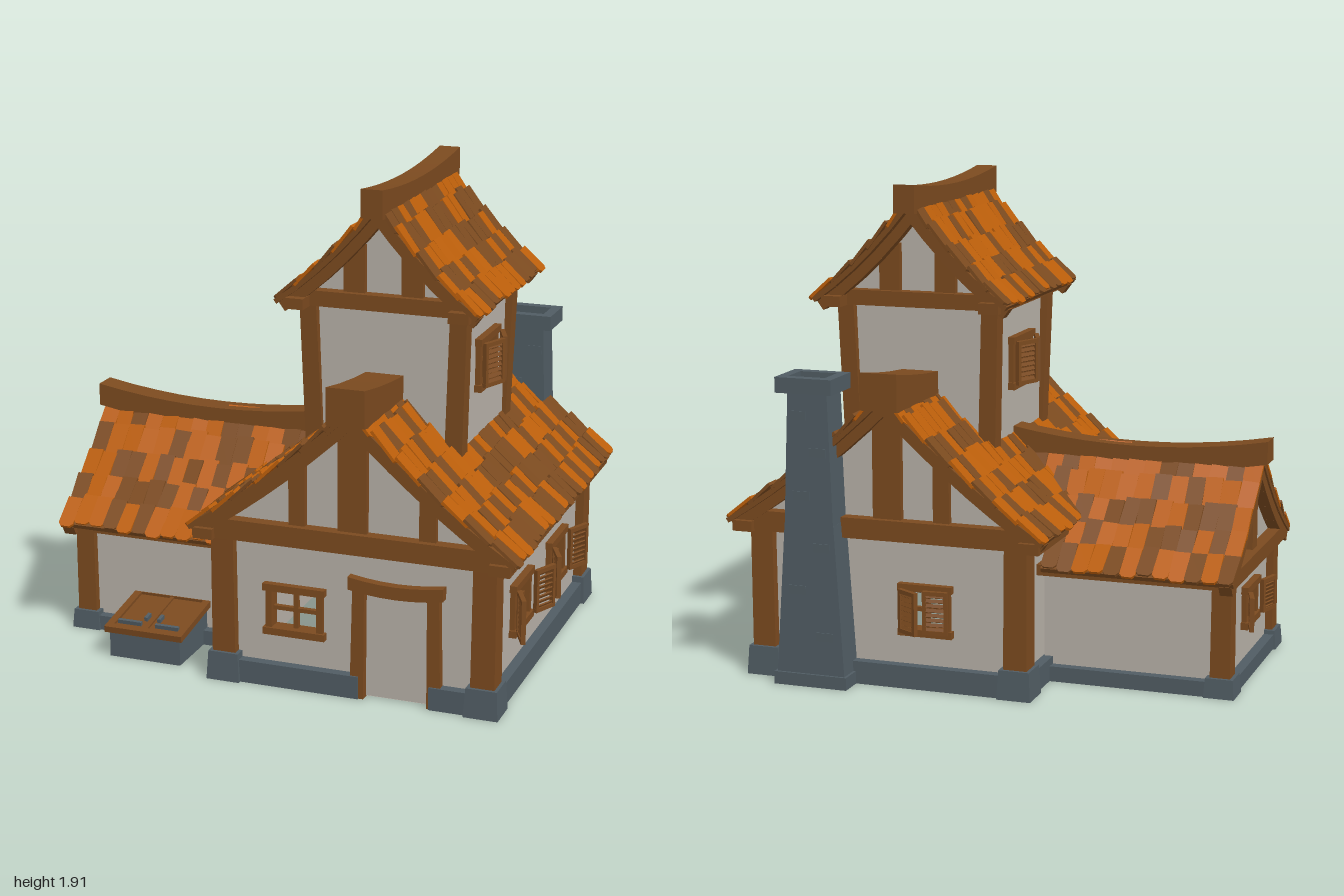
import * as THREE from 'three';
import { mergeGeometries } from 'three/addons/utils/BufferGeometryUtils.js';

const mat = (name, color) => Object.assign(new THREE.MeshStandardMaterial({ color }), { name });
const wood = mat('wood', 0x7b4a1f);
const plaster = mat('plaster', 0xb7b0a7);
const stone = mat('stone', 0x505c63);
const orange = mat('orangeTile', 0xbb5e0a);

let seed = 7;
const rand = () => (seed = (seed * 16807) % 2147483647) / 2147483647;

function add(parent, name, geo, material, x = 0, y = 0, z = 0) {
  const m = new THREE.Mesh(geo, material);
  m.name = name;
  m.position.set(x, y, z);
  parent.add(m);
  return m;
}
const box = (p, name, m, w, h, d, x, y, z) => add(p, name, new THREE.BoxGeometry(w, h, d), m, x, y, z);
function group(parent, name, x = 0, y = 0, z = 0, ry = 0) {
  const g = new THREE.Group();
  g.name = name;
  g.position.set(x, y, z);
  g.rotation.y = ry;
  parent.add(g);
  return g;
}
// Box with its vertices moved by a rule
function bent(w, h, d, rule, segX = 1, segZ = 1) {
  const geo = new THREE.BoxGeometry(w, h, d, segX, 1, segZ);
  const p = geo.attributes.position, v = new THREE.Vector3();
  for (let i = 0; i < p.count; i++) {
    rule(v.fromBufferAttribute(p, i));
    p.setXYZ(i, v.x, v.y, v.z);
  }
  geo.computeVertexNormals();
  return geo;
}
// Upright block whose top is scaled and shifted
const taper = (w, h, d, sx, sz, dx = 0, dz = 0) => bent(w, h, d, v => {
  if (v.y > 0) { v.x = v.x * sx + dx; v.z = v.z * sz + dz; }
});

// Louvred shutter on a hinge; angle 0 is closed
function shutter(parent, s, w, h, x, angle) {
  const g = group(parent, 'shutter', s * x, 0, 0.035, s * angle * Math.PI / 180);
  for (const k of [0.07, 0.93]) box(g, 'shutterStile', wood, 0.014, h, 0.018, -s * w * k, 0, 0);
  for (const k of [-1, 1]) box(g, 'shutterRail', wood, w, 0.016, 0.018, -s * w / 2, k * (h / 2 - 0.008), 0);
  for (let i = 1; i < 9; i++) {
    box(g, 'slat', wood, w * 0.9, 0.014, 0.006, -s * w / 2, (i / 9 - 0.5) * h, 0).rotation.x = -0.5;
  }
}
function windowUnit(parent, { x, y, w, h, open }) {
  const g = group(parent, 'window', x, y, 0);
  for (const s of [-1, 1]) {
    box(g, 'jamb', wood, 0.025, h, 0.055, s * (w / 2 - 0.022), 0, -0.008);
    box(g, s > 0 ? 'lintel' : 'sill', wood, w, 0.028, 0.065, 0, s * (h / 2 - 0.014), -0.004);
  }
  box(g, 'mullion', wood, 0.018, h - 0.04, 0.02, 0, 0, -0.01);
  box(g, 'glazingBar', wood, w - 0.06, 0.016, 0.02, 0, 0, -0.01);
  if (open) [-1, 1].forEach((s, i) => shutter(g, s, w * 0.45, h - 0.035, w / 2 - 0.012, open[i]));
}

// Plaster wall facing local +z with openings
function wall(parent, name, pts, dist, ry, windows = [], doors = []) {
  const g = group(parent, name, Math.sin(ry) * dist, 0, Math.cos(ry) * dist, ry);
  const shape = new THREE.Shape(pts.map(p => new THREE.Vector2(...p)));
  const hole = (x0, y0, x1, y1) => shape.holes.push(new THREE.Path([[x0, y0], [x0, y1], [x1, y1], [x1, y0]].map(p => new THREE.Vector2(...p))));
  for (const o of windows) {
    hole(o.x - o.w / 2 + 0.025, o.y - o.h / 2 + 0.015, o.x + o.w / 2 - 0.025, o.y + o.h / 2 - 0.015);
    windowUnit(g, o);
  }
  for (const d of doors) hole(...d);
  add(g, 'plaster', new THREE.ExtrudeGeometry(shape, { depth: 0.03, bevelEnabled: false }), plaster, 0, 0, -0.03);
}

// One roof tile with a rounded lower edge
function tileGeometry(w, l) {
  const a = w / 2, s = new THREE.Shape();
  s.moveTo(-a, l / 2);
  s.lineTo(-a, -l * 0.4);
  s.lineTo(-a * 0.6, -l / 2);
  s.lineTo(a * 0.6, -l / 2);
  s.lineTo(a, -l * 0.4);
  s.lineTo(a, l / 2);
  return new THREE.ExtrudeGeometry(s, { depth: 0.012, bevelEnabled: false });
}

// Saddle roof with its ridge along local z
function roof(parent, r) {
  const g = group(parent, 'roof');
  const at = t => new THREE.Vector2(r.half * t, r.top + (r.low - r.top) * t - 0.11 * t * (1 - t));
  const orangeBatch = [], brownBatch = [];
  for (const s of [-1, 1]) for (let j = 0; j < r.rows; j++) {
    const a = at(j / r.rows), b = at((j + 1) / r.rows), mid = a.clone().add(b).divideScalar(2);
    const len = a.distanceTo(b), ang = Math.atan2(a.y - b.y, b.x - a.x);
    const z0 = r.start(mid.y), run = r.end - z0, n = Math.round(run / 0.066), w = run / n;
    box(g, 'roofBoard', wood, len + 0.005, 0.02, run - 0.005, s * mid.x, mid.y - 0.011, (z0 + r.end) / 2).rotation.z = -s * ang;
    // Bargeboards under both verges
    for (const z of r.verges) {
      box(g, 'bargeboard', wood, len + 0.01, 0.045, 0.05, s * (mid.x - 0.015), mid.y - 0.035, z).rotation.z = -s * ang;
    }
    const down = new THREE.Vector3(s * Math.cos(ang), -Math.sin(ang), 0);
    const up = new THREE.Vector3(s * Math.sin(ang), Math.cos(ang), 0);
    const back = down.clone().negate(), side = back.clone().cross(up);
    for (let i = 0; i < n; i++) {
      const geo = tileGeometry(w * (0.95 + rand() * 0.1), len * 1.25);
      geo.rotateX(0.08 + rand() * 0.06).rotateY((rand() - 0.5) * 0.12).rotateZ((rand() - 0.5) * 0.1);
      geo.applyMatrix4(new THREE.Matrix4().makeBasis(side, back, up));
      const k = (rand() - 0.5) * 0.022;
      geo.translate(s * mid.x + down.x * k + up.x * 0.003, mid.y + down.y * k + up.y * 0.003, z0 + (i + 0.5) * w);
      (rand() < 0.55 ? orangeBatch : brownBatch).push(geo);
    }
  }
  add(g, 'orangeTiles', mergeGeometries(orangeBatch), orange);
  add(g, 'brownTiles', mergeGeometries(brownBatch), wood);
  // Sagging ridge beam
  const q = r.ridge;
  add(g, 'ridgeBeam', bent(q.w, q.h, q.half * 2, v => { v.y += q.rise * (v.z / q.half) ** 2; }, 1, 10), wood, 0, q.y - q.h / 2, q.z || 0);
}

// Timber-framed block: walls, posts, beams, gables, footing and roof
function building(parent, name, o, x, z, ry = 0) {
  const g = group(parent, name, x, 0, z, ry), { hx, hz, y0, eave, ends } = o;
  const r = o.roof, gy = r.top - 0.05, slope = (r.top - r.low) / r.half;
  const shoulder = r.top - slope * hx - 0.05;
  const gable = [[-hx, y0], [hx, y0], [hx, shoulder], [0, gy], [-hx, shoulder]];
  const sidePts = [[-hz, y0], [hz, y0], [hz, eave + 0.03], [-hz, eave + 0.03]];
  wall(g, 'rightWall', sidePts, hx, Math.PI / 2, o.right);
  wall(g, 'leftWall', sidePts, hx, -Math.PI / 2, o.left);
  for (const e of ends) {
    wall(g, e > 0 ? 'frontWall' : 'backWall', gable, hz, e > 0 ? 0 : Math.PI, e > 0 ? o.front : o.back, e > 0 ? o.doors : []);
    box(g, 'gableBeam', wood, o.beam * 2, o.beamH, 0.07, 0, eave + o.beamH / 2 - 0.01, e * (hz + 0.015));
    for (const [tx, tw] of o.timbers) {
      const top = r.top - slope * Math.abs(tx) - 0.06, bot = eave + 0.02;
      box(g, 'gableTimber', wood, tw, top - bot, 0.04, tx, (top + bot) / 2, e * (hz + 0.005));
    }
    for (const s of [-1, 1]) {
      const p = o.post, h = eave - y0, c = p / 2 - o.out;
      add(g, 'cornerPost', taper(p, h, p, 0.95, 0.95, s * o.lean, e * o.lean), wood, s * (hx - c), y0 + h / 2, e * (hz - c));
      if (o.foot) add(g, 'cornerStone', taper(p + 0.04, o.foot * 1.27, p + 0.04, 0.9, 0.9), stone, s * (hx - c), o.foot * 0.635, e * (hz - c));
    }
  }
  for (const s of [-1, 1]) {
    box(g, 'eaveBeam', wood, 0.08, 0.042, o.eaveLen, s * (o.beam - 0.03), eave + 0.009, o.eaveZ || 0);
    if (o.foot) box(g, 'footing', stone, 0.055, o.foot, hz * 2, s * (hx + 0.012), o.foot / 2, 0);
  }
  if (o.foot) {
    for (const e of ends) for (const [a, b] of e > 0 && o.doors ? [[-hx, o.doors[0][0]], [o.doors[0][2], hx]] : [[-hx, hx]]) {
      box(g, 'footing', stone, b - a, o.foot, 0.055, (a + b) / 2, o.foot / 2, e * (hz + 0.012));
    }
    box(g, 'ceiling', plaster, hx * 2 - 0.02, 0.015, hz * 2 - 0.02, 0, eave + 0.01, 0);
  }
  roof(g, r);
  return g;
}

export function createModel() {
  const model = new THREE.Group();
  model.name = 'cottage';

  const main = building(model, 'mainHouse', {
    hx: 0.53, hz: 0.645, y0: 0.005, eave: 0.59, ends: [1, -1], post: 0.095, out: 0.035, lean: 0.003, foot: 0.09,
    beam: 0.615, beamH: 0.08, eaveLen: 1.44, timbers: [[-0.22, 0.065], [0, 0.115], [0.295, 0.065]],
    front: [{ x: -0.235, y: 0.31, w: 0.25, h: 0.205 }], doors: [[0.03, 0.004, 0.31, 0.44]],
    back: [{ x: 0.15, y: 0.31, w: 0.22, h: 0.205, open: [30, 4] }],
    right: [-0.255, 0.25].map(x => ({ x, y: 0.31, w: 0.25, h: 0.21, open: [155, 155] })),
    roof: { half: 0.64, top: 1.142, low: 0.632, rows: 7, start: () => -0.735, end: 0.725, verges: [0.675, -0.675],
      ridge: { w: 0.15, h: 0.145, half: 0.745, y: 1.165, rise: 0.07 } },
  }, 0.335, 0.03);

  // Doorway
  const door = group(main, 'doorFrame', 0.175, 0, 0.645);
  for (const s of [-1, 1]) add(door, 'doorPost', taper(0.055, 0.44, 0.065, 0.85, 1, -s * 0.006), wood, s * 0.153, 0.22, 0);
  add(door, 'doorLintel', bent(0.375, 0.05, 0.075, v => { v.y += 0.5 * v.x * v.x; }, 6), wood, 0, 0.445, 0);

  const towerWindow = [{ x: 0, y: 1.19, w: 0.26, h: 0.21, open: [22, 22] }];
  building(model, 'tower', {
    hx: 0.3, hz: 0.31, y0: 0.78, eave: 1.44, ends: [1, -1], post: 0.07, out: 0.012, lean: 0.022,
    beam: 0.355, beamH: 0.06, eaveLen: 0.86, timbers: [[-0.115, 0.085], [0.115, 0.085]],
    right: towerWindow, left: towerWindow,
    roof: { half: 0.395, top: 1.845, low: 1.465, rows: 5, start: () => -0.435, end: 0.435, verges: [0.37, -0.37],
      ridge: { w: 0.085, h: 0.11, half: 0.468, y: 1.885, rise: 0.03 } },
  }, 0.335, 0.03);

  // Side wing, its gable facing -x, with the roof trimmed against the main roof
  building(model, 'sideWing', {
    hx: 0.365, hz: 0.36, y0: 0.005, eave: 0.445, ends: [1], post: 0.08, out: 0.03, lean: 0.002, foot: 0.06,
    beam: 0.44, beamH: 0.06, eaveLen: 0.77, eaveZ: 0.02, timbers: [[0, 0.075]],
    front: [{ x: 0, y: 0.275, w: 0.22, h: 0.17, open: [163, 163] }],
    roof: { half: 0.48, top: 0.85, low: 0.475, rows: 5, end: 0.42, verges: [0.385],
      start: y => -Math.max(0.34, 0.28 + (y - 0.62) / 0.78),
      ridge: { w: 0.1, h: 0.09, half: 0.525, y: 0.88, rise: 0.05, z: -0.085 } },
  }, -0.56, 0.02, -Math.PI / 2);

  // Cellar hatch with a sloping double lid
  const hatch = group(model, 'cellarHatch', -0.545, 0, 0.51);
  add(hatch, 'hatchBase', bent(0.3, 0.13, 0.29, v => { if (v.y > 0) v.y -= v.z * 0.15; }), stone, 0, 0.065, 0);
  const lid = group(hatch, 'lid', 0, 0.142, 0);
  lid.rotation.x = 0.15;
  box(lid, 'lidPanel', wood, 0.3, 0.012, 0.29, 0, -0.004, 0.01);
  for (const s of [-1, 1]) {
    box(lid, 'lidSide', wood, 0.03, 0.026, 0.32, s * 0.15, 0, 0.005);
    box(lid, 'lidRail', wood, 0.33, 0.026, 0.03, 0, 0, 0.005 + s * 0.145);
    box(lid, 'strapHinge', stone, 0.1, 0.018, 0.014, s * 0.08, 0.009, 0.105);
    box(lid, 'handle', stone, 0.014, 0.02, 0.04, s * 0.028, 0.008, 0.05);
  }
  box(lid, 'lidSeam', wood, 0.015, 0.02, 0.29, 0, 0, 0.005);

  // Chimney with a hollow cap
  const ch = group(model, 'chimney', 0.615, 0, -0.675);
  box(ch, 'chimneyBase', stone, 0.3, 0.05, 0.18, 0, 0.025, 0.01);
  add(ch, 'chimneyLower', taper(0.28, 0.6, 0.15, 0.72, 0.93), stone, 0, 0.34, 0.005);
  add(ch, 'chimneyUpper', taper(0.2, 0.52, 0.14, 0.8, 0.95), stone, 0, 0.9, 0.005);
  for (const s of [-1, 1]) {
    box(ch, 'capSide', stone, 0.04, 0.06, 0.19, s * 0.095, 1.18, -0.005);
    box(ch, 'capEnd', stone, 0.15, 0.06, 0.04, 0, 1.18, -0.005 + s * 0.075);
  }
  for (const [bx, by] of [[-0.06, 0.2], [0.05, 0.38], [-0.05, 0.55], [0.03, 0.75], [-0.04, 0.92], [0.04, 1.06]]) {
    box(ch, 'brick', stone, 0.07, 0.035, 0.157 - by * 0.016, bx, by, 0.005);
  }
  return model;
}
